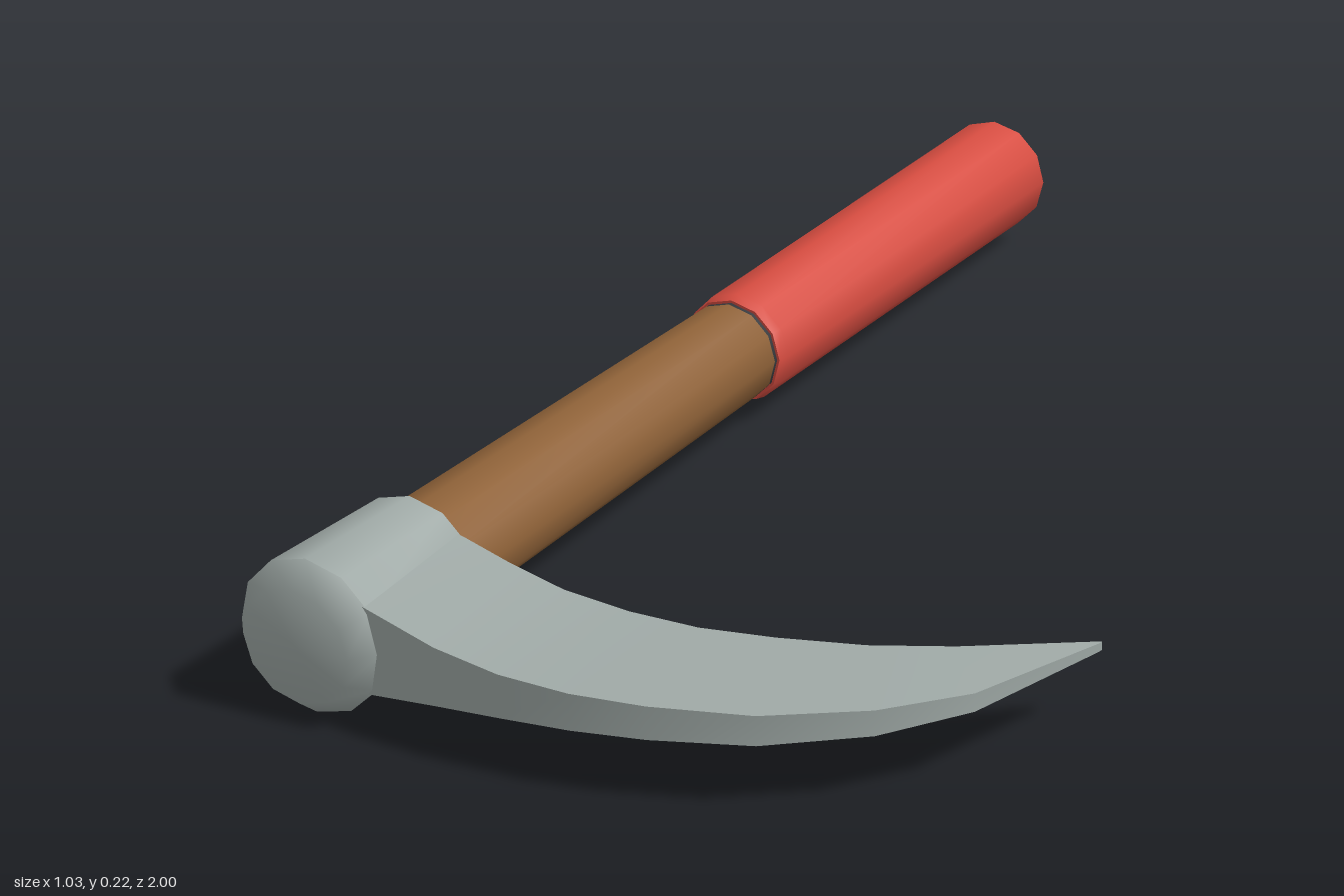
import * as THREE from 'three';
import { toCreasedNormals } from 'three/addons/utils/BufferGeometryUtils.js';

const AXIS_X = -0.407, AXIS_Y = 0.112;

function material(name, color) {
  const m = new THREE.MeshStandardMaterial({ color });
  m.name = name;
  return m;
}

// Round part along the handle axis; profile is [radius, z] from back to front
function turned(name, profile, mat, smooth = false) {
  let geo = new THREE.LatheGeometry(profile.map(([r, z]) => new THREE.Vector2(r, z)), 12);
  geo.rotateX(Math.PI / 2);
  if (!smooth) geo = toCreasedNormals(geo, 0.56);
  const mesh = new THREE.Mesh(geo, mat);
  mesh.name = name;
  mesh.position.set(AXIS_X, AXIS_Y, 0);
  return mesh;
}

// Curved blade: rectangular sections, each side its own strip so the edges stay sharp
function bladeGeometry() {
  // inner x, inner z, outer x, outer z, inner half height, outer half height
  const stations = [
    [-0.38, 0.735, -0.38, 0.96, 0.076, 0.076],
    [-0.32, 0.737, -0.32, 0.967, 0.063, 0.063],
    [-0.24, 0.75, -0.20, 0.985, 0.049, 0.042],
    [-0.15, 0.76, -0.10, 0.991, 0.035, 0.031],
    [-0.05, 0.762, 0.00, 0.985, 0.028, 0.026],
    [0.05, 0.755, 0.10, 0.965, 0.025, 0.0235],
    [0.15, 0.73, 0.23, 0.92, 0.023, 0.021],
    [0.26, 0.69, 0.35, 0.835, 0.02, 0.018],
    [0.36, 0.635, 0.435, 0.73, 0.017, 0.013],
    [0.51, 0.517, 0.51, 0.522, 0.006, 0.006],
  ];
  const corners = stations.map(([ix, iz, ox, oz, ih, oh]) => [
    [ix, AXIS_Y + ih, iz], [ox, AXIS_Y + oh, oz],
    [ox, AXIS_Y - oh, oz], [ix, AXIS_Y - ih, iz],
  ]);
  const pos = [], index = [];
  for (let side = 0; side < 4; side++) {
    const base = pos.length / 3;
    corners.forEach((c) => pos.push(...c[side], ...c[(side + 1) % 4]));
    for (let i = 0; i < corners.length - 1; i++) {
      const a = base + i * 2;
      index.push(a, a + 1, a + 2, a + 1, a + 3, a + 2);
    }
  }
  // Tip cap
  const t = pos.length / 3;
  corners[corners.length - 1].forEach((p) => pos.push(...p));
  index.push(t, t + 1, t + 2, t, t + 2, t + 3);

  const geo = new THREE.BufferGeometry();
  geo.setAttribute('position', new THREE.Float32BufferAttribute(pos, 3));
  geo.setIndex(index);
  geo.computeVertexNormals();
  return geo;
}

export function createModel() {
  const steel = material('steel', 0x9fa9a6);
  const wood = material('wood', 0x8f6238);
  const red = material('red grip', 0xd64c40);
  const dark = material('dark band', 0x34363a);

  const model = new THREE.Group();
  model.name = 'handPick';

  // Handle
  model.add(
    turned('handle', [[0.079, -0.1], [0.085, 0.76]], wood),
    turned('gripBand', [[0.079, -0.112], [0.079, -0.092]], dark),
    turned('grip', [[0, -1], [0.095, -1], [0.087, -0.125], [0.083, -0.107], [0.077, -0.107]], red),
  );

  // Head socket with domed front
  model.add(
    turned('headSocket', [[0.08, 0.735], [0.104, 0.735], [0.111, 0.965]], steel),
    turned('headDome', [[0.111, 0.965], [0.082, 1], [0, 1]], steel, true),
  );

  // Blade
  const blade = new THREE.Mesh(bladeGeometry(), steel);
  blade.name = 'blade';
  model.add(blade);

  return model;
}
